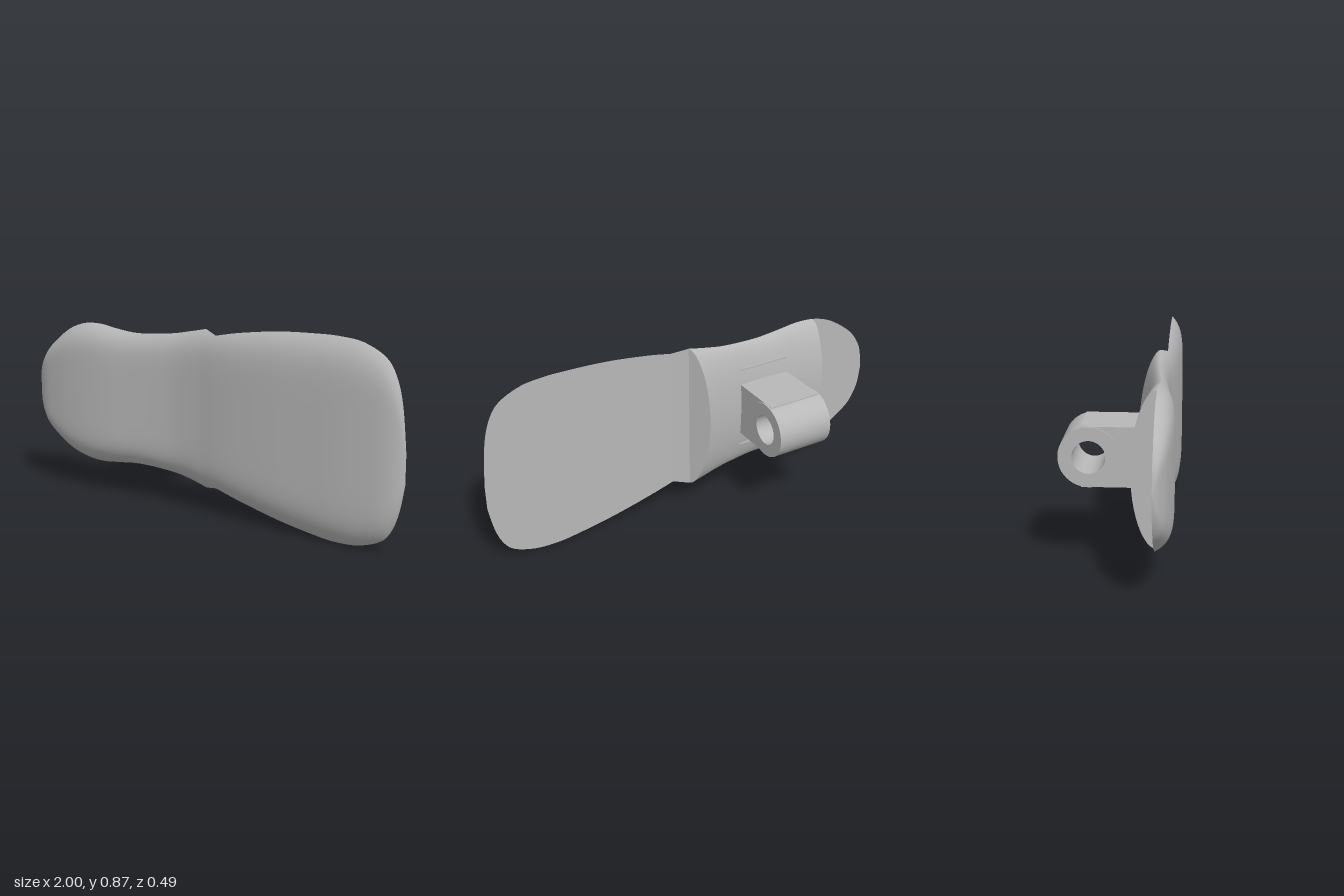
import * as THREE from 'three';
import { ParametricGeometry } from 'three/addons/geometries/ParametricGeometry.js';

// Stations along the pad: x, top y, bottom y, rim z, front crown z
const ROWS = [
  [-1, .475, .465, .167, .168], [-.985, .57, .37, .167, .187], [-.95, .64, .295, .168, .206],
  [-.9, .695, .245, .168, .222], [-.8, .765, .18, .169, .237], [-.7, .8, .15, .171, .243],
  [-.6, .805, .144, .174, .242], [-.5, .792, .154, .177, .235], [-.37, .781, .166, .175, .22],
  [-.2, .793, .155, .162, .204], [-.1, .81, .137, .157, .203], [0, .83, .11, .157, .21],
  [.075, .811, .126, .188, .22], [.2, .834, .09, .188, .232], [.4, .858, .042, .188, .242],
  [.6, .866, .008, .188, .244], [.7, .864, 0, .188, .244], [.8, .85, .008, .188, .24],
  [.9, .8, .045, .188, .231], [.95, .725, .105, .188, .219], [.98, .61, .19, .188, .205],
  [1, .42, .3, .188, .189],
];
const LAST = ROWS.length - 1;

// Smooth runs of stations, broken at the two corners of the waist notch
const RUNS = [[0, 11], [11, 12], [12, LAST]].map(([a, b]) => {
  const rows = ROWS.slice(a, b + 1);
  const spline = (i, j) => new THREE.SplineCurve(rows.map((r) => new THREE.Vector2(r[i], r[j])));
  return { a, b, top: spline(0, 1), bottom: spline(0, 2), depth: spline(3, 4) };
});

function station(k) {
  const run = RUNS.find((r) => k <= r.b);
  const t = (k - run.a) / (run.b - run.a);
  const top = run.top.getPoint(t), depth = run.depth.getPoint(t);
  return { x: top.x, top: top.y, bottom: run.bottom.getPoint(t).y, rim: depth.x, front: depth.y };
}

// Station at a given x, by bisection
function stationAt(x) {
  let lo = 0, hi = LAST;
  for (let i = 0; i < 30; i++) {
    const mid = (lo + hi) / 2;
    if (station(mid).x < x) lo = mid; else hi = mid;
  }
  return station((lo + hi) / 2);
}

const across = (v) => Math.sin(Math.PI * (v - .5)); // -1..1, denser at the rims
const heightAt = (s, w) => (s.top + s.bottom) / 2 + w * (s.top - s.bottom) / 2;
const saddleShape = (w) => Math.pow(Math.max(0, 1 - w * w), .55);

// Raised saddle on the back
const SADDLE_END = -.69, CHAMFER = -.06;
const saddleCrown = (x) => .1 - .033 * Math.pow((x + .375) / .315, 2);
function saddlePoint(x, w, p) {
  const s = stationAt(x);
  return p.set(x, heightAt(s, w), THREE.MathUtils.lerp(s.rim, saddleCrown(Math.max(SADDLE_END, Math.min(CHAMFER, x))), saddleShape(w)));
}

export function createModel() {
  const group = new THREE.Group();
  const grey = new THREE.MeshStandardMaterial({ color: 0xb8b8b8 });
  grey.name = 'plain grey';

  function add(name, geometry) {
    const mesh = new THREE.Mesh(geometry, grey);
    mesh.name = name;
    group.add(mesh);
    return mesh;
  }
  function sheet(name, fn, slices, stacks) {
    const geometry = new ParametricGeometry(fn, slices, stacks);
    geometry.computeVertexNormals();
    return add(name, geometry);
  }

  // Domed front face
  sheet('padFront', (u, v, p) => {
    const s = station(u * LAST), w = across(v);
    p.set(s.x, heightAt(s, w), s.rim + (s.front - s.rim) * (1 - Math.pow(Math.abs(w), 7.5)));
  }, LAST * 4, 32);

  // Flat back faces, each between two station numbers
  const endStation = 5.1;
  [['backWide', 12, LAST], ['backNotch', 11, 12], ['backNarrow', 0, endStation]].forEach(([name, a, b]) => {
    sheet(name, (u, v, p) => {
      const s = station(b + (a - b) * u);
      p.set(s.x, heightAt(s, across(v)), s.rim);
    }, Math.ceil(b - a) * 4, 16);
  });

  // Saddle, its sloped end and its upright end
  sheet('saddle', (u, v, p) => {
    const w = across(v);
    saddlePoint(THREE.MathUtils.lerp(CHAMFER * saddleShape(w), SADDLE_END, u), w, p);
  }, 32, 24);
  sheet('saddleSlope', (u, v, p) => {
    const w = across(v), s = stationAt(0);
    saddlePoint(CHAMFER * saddleShape(w), w, p);
    p.lerp(new THREE.Vector3(0, heightAt(s, w), s.rim), 1 - u).setX(CHAMFER * saddleShape(w) * u);
  }, 2, 24);
  sheet('saddleEnd', (u, v, p) => {
    const rim = stationAt(SADDLE_END).rim;
    saddlePoint(SADDLE_END, across(v), p);
    p.z = THREE.MathUtils.lerp(p.z, rim, u);
  }, 2, 24);

  // Slim ridges above and below the mount
  for (const side of [-1, 1]) {
    const ridge = add('ridge', new THREE.BoxGeometry(.25, .008, .03));
    ridge.position.set(-.375, .473 + side * .2, .125);
  }

  // Mount: shapes drawn in (-z, y) and extruded along x
  const MID_Y = .473, EYE = .117, OUTER = .1285, HOLE = .07;
  function extrudeAlongX(name, shape, width) {
    const geometry = new THREE.ExtrudeGeometry(shape, { depth: width, bevelEnabled: false, curveSegments: 40 });
    geometry.translate(0, 0, -width / 2).rotateY(Math.PI / 2);
    add(name, geometry).position.set(-.375, MID_Y, 0);
  }
  // Neck block, cut clear of the bore
  const bore = .09, tip = .15, angle = Math.acos((tip - EYE) / bore), lip = bore * Math.sin(angle);
  const neck = new THREE.Shape();
  neck.moveTo(-.13, -.129);
  neck.lineTo(tip, -.129);
  neck.lineTo(tip, -lip);
  neck.absarc(EYE, 0, bore, -angle, angle, true);
  neck.lineTo(tip, .129);
  neck.lineTo(-.13, .129);
  extrudeAlongX('mountNeck', neck, .258);

  // Eye ring, built as a lathe so that its walls are smooth
  const half = .136;
  const corners = [[HOLE, -half], [OUTER, -half], [OUTER, half], [HOLE, half], [HOLE, -half]];
  for (let i = 0; i < 4; i++) {
    const points = [corners[i], corners[i + 1]].map(([r, y]) => new THREE.Vector2(r, y));
    const geometry = new THREE.LatheGeometry(points, 64).rotateZ(Math.PI / 2);
    add('mountEye', geometry).position.set(-.375, MID_Y, -EYE);
  }
  return group;
}
